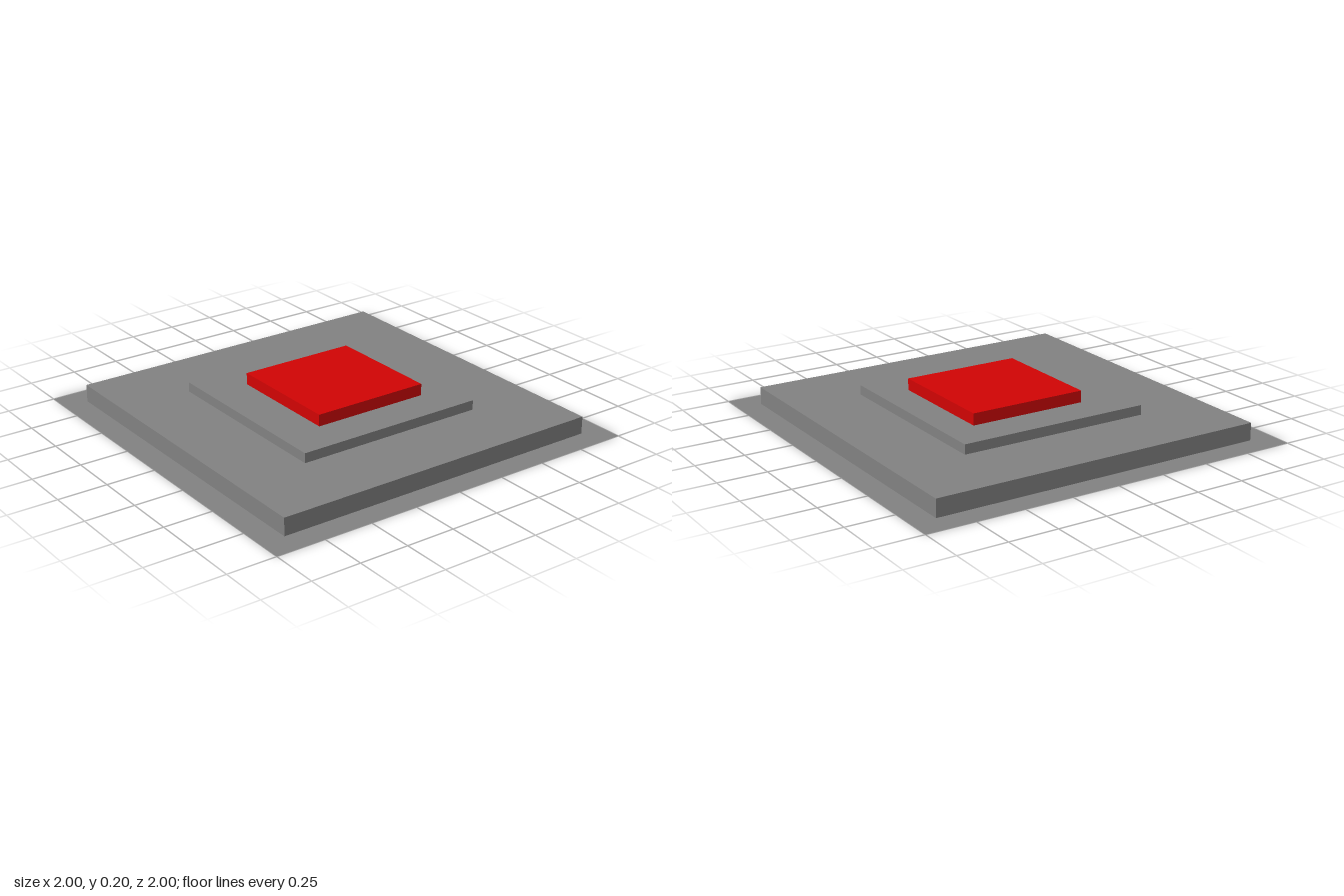
import * as THREE from 'three';

const grey = new THREE.MeshStandardMaterial({ color: 0x828282, flatShading: true, side: THREE.DoubleSide });
const red = new THREE.MeshStandardMaterial({ color: 0xd10404, flatShading: true });

// Square shell swept from [half width, height] pairs, listed from the outside in
function squareShell(name, profile) {
  const points = profile.map(([half, y]) => new THREE.Vector2(half * Math.SQRT2, y));
  const geometry = new THREE.LatheGeometry(points, 4, Math.PI / 4).toNonIndexed();
  geometry.computeVertexNormals();
  const mesh = new THREE.Mesh(geometry, grey);
  mesh.name = name;
  return mesh;
}

export function createModel() {
  const model = new THREE.Group();
  model.name = 'steppedPlatform';

  // Thin sheet pressed into two hollow steps, open underneath
  model.add(squareShell('flange', [[1, 0], [0.875, 0]]));
  model.add(squareShell('lowerStep', [[0.875, 0], [0.875, 0.09], [0.5, 0.09]]));
  model.add(squareShell('upperStep', [[0.5, 0.09], [0.5, 0.14], [0, 0.14]]));

  // Block set through the upper step, slightly off centre
  const bottom = 0.028, top = 0.2;
  const block = new THREE.Mesh(new THREE.BoxGeometry(0.614, top - bottom, 0.614), red);
  block.name = 'centreBlock';
  block.position.set(0.028, (top + bottom) / 2, -0.003);
  model.add(block);

  return model;
}
